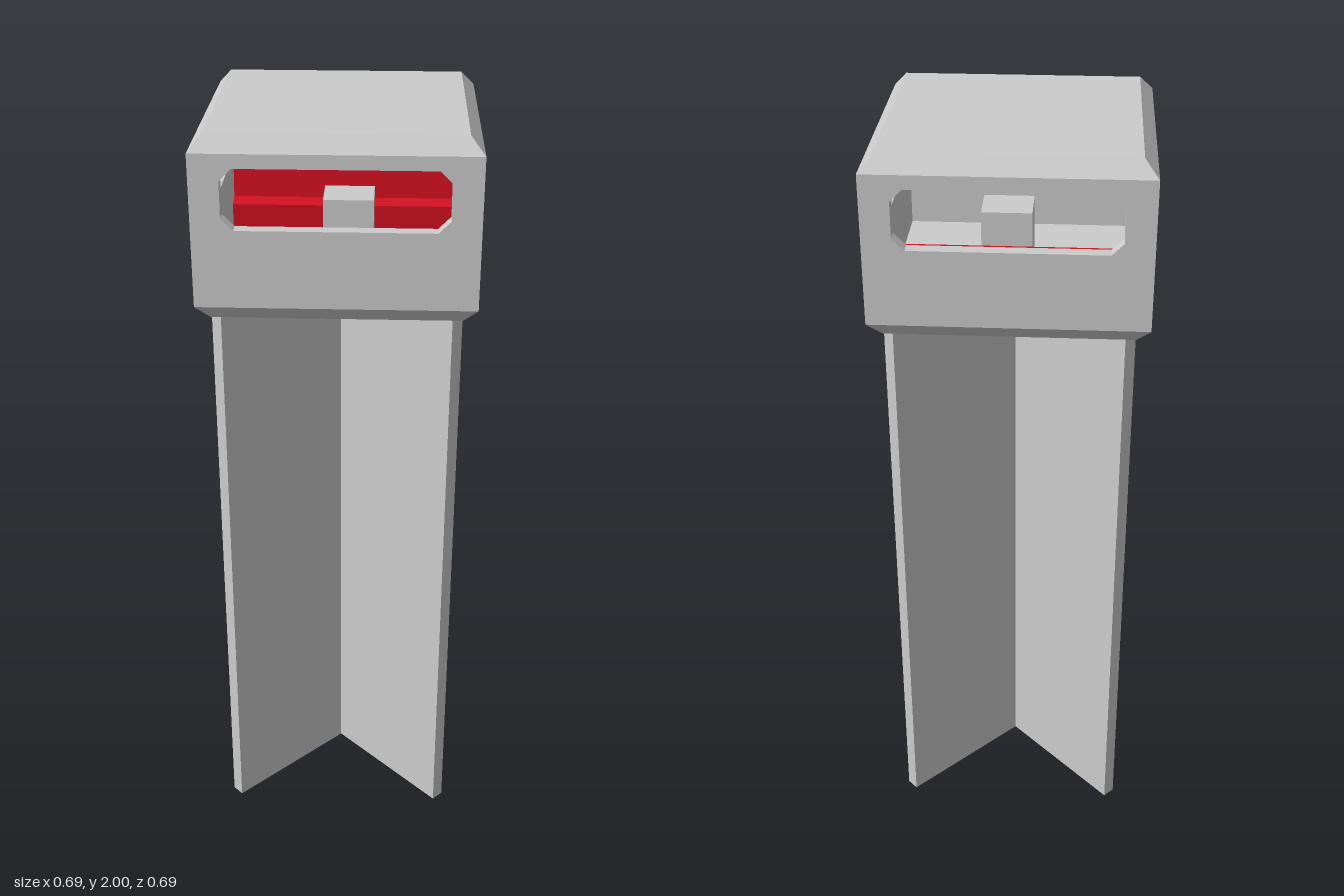
import * as THREE from 'three';

const grey = new THREE.MeshStandardMaterial({ color: 0xcccccc, flatShading: true });
const red = new THREE.MeshStandardMaterial({ color: 0xd01020, flatShading: true });

const OUT = 0.345; // half width of the cabin
const IN = 0.31;   // half width inside the walls and at the bevelled ends

function add(parent, name, geometry, material, x = 0, y = 0, z = 0) {
  const mesh = new THREE.Mesh(geometry, material);
  mesh.name = name;
  mesh.position.set(x, y, z);
  parent.add(mesh);
  return mesh;
}

// Four-sided frustum with half widths at top and bottom
function squareFrustum(top, bottom, height) {
  const g = new THREE.CylinderGeometry(top * Math.SQRT2, bottom * Math.SQRT2, height, 4);
  return g.rotateY(Math.PI / 4);
}

// Wall panel with a chamfered window; one end stops at the neighbouring wall
function wallGeometry() {
  const shape = new THREE.Shape([
    [-OUT, 1.58], [IN, 1.58], [IN, 1.96], [-OUT, 1.96],
  ].map(p => new THREE.Vector2(...p)));
  const w = 0.272, b = 1.775, t = 1.925, c = 0.03;
  shape.holes.push(new THREE.Path([
    [-w + c, b], [-w, b + c], [-w, t - c], [-w + c, t],
    [w - c, t], [w, t - c], [w, b + c], [w - c, b],
  ].map(p => new THREE.Vector2(...p))));
  return new THREE.ExtrudeGeometry(shape, { depth: OUT - IN, bevelEnabled: false });
}

export function createModel() {
  const model = new THREE.Group();
  model.name = 'tower';

  // Crossed diagonal boards carrying the cabin
  const base = new THREE.Group();
  base.name = 'crossBase';
  for (const side of [1, -1]) {
    const board = add(base, 'supportBoard', new THREE.BoxGeometry(0.842, 1.54, 0.036), grey, 0, 0.77, 0);
    board.rotation.y = side * Math.PI / 4;
  }
  model.add(base);

  // Cabin: bevelled floor, four windowed walls, bevelled roof
  const cabin = new THREE.Group();
  cabin.name = 'cabin';
  add(cabin, 'floor', squareFrustum(OUT, IN, 0.04), grey, 0, 1.56, 0);
  add(cabin, 'roof', squareFrustum(IN, OUT, 0.04), grey, 0, 1.98, 0);
  const wall = wallGeometry();
  for (let i = 0; i < 4; i++) {
    const side = new THREE.Group();
    side.name = 'wallSide';
    add(side, 'windowWall', wall, grey, 0, 0, IN);
    side.rotation.y = i * Math.PI / 2;
    cabin.add(side);
  }
  model.add(cabin);

  // Low central pedestal inside the cabin
  add(model, 'pedestal', new THREE.BoxGeometry(0.13, 0.18, 0.12), grey, 0.02, 1.67, 0);

  // Red bench along the back wall, from a stepped side profile
  const profile = new THREE.Shape([
    [0.31, 1.58], [0.31, 1.765], [0.28, 1.765], [0.27, 1.66], [0.228, 1.65], [0.228, 1.58],
  ].map(p => new THREE.Vector2(...p)));
  const bench = new THREE.ExtrudeGeometry(profile, { depth: 2 * IN, bevelEnabled: false });
  bench.rotateY(Math.PI / 2).translate(-IN, 0, 0); // profile x becomes -z
  add(model, 'bench', bench, red);

  return model;
}
